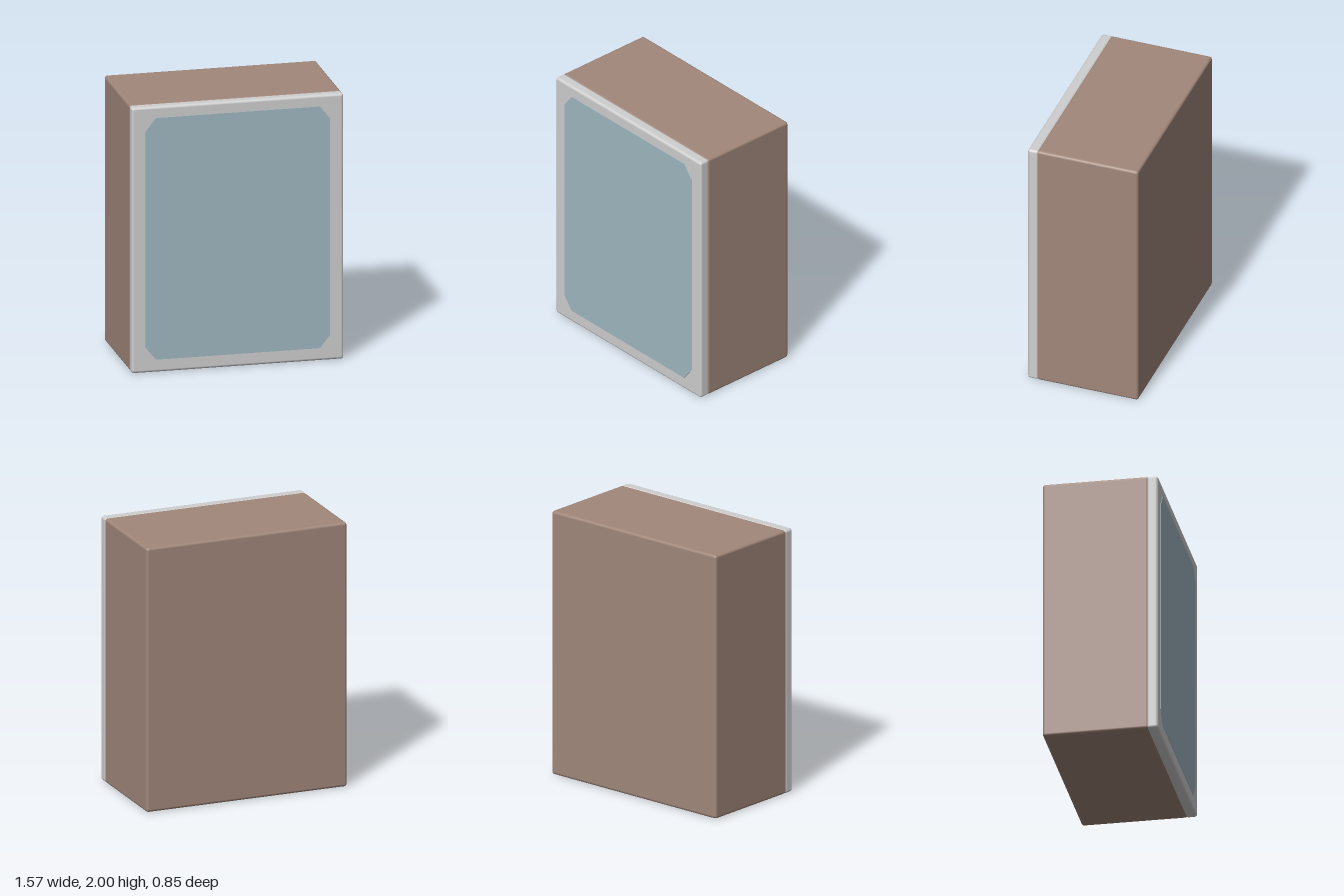
import * as THREE from 'three';
import { RoundedBoxGeometry } from 'three/addons/geometries/RoundedBoxGeometry.js';

const WIDTH = 1.57, HEIGHT = 2;

function material(name, color) {
  const m = new THREE.MeshStandardMaterial({ color });
  m.name = name;
  return m;
}

// Softly bevelled slab filling the full width and height between two depths
function slab(name, zBack, zFront, mat) {
  const geometry = new RoundedBoxGeometry(WIDTH, HEIGHT, zFront - zBack, 2, 0.02);
  const mesh = new THREE.Mesh(geometry, mat);
  mesh.name = name;
  mesh.position.set(0, HEIGHT / 2, (zBack + zFront) / 2);
  return mesh;
}

export function createModel() {
  const group = new THREE.Group();
  group.name = 'cabinet';
  const brown = material('brown casing', 0xa1877a);
  const grey = material('light grey frame', 0xcfcfcf);
  const blue = material('pale blue glass', 0x9fb7c1);

  // Casing and front frame overlap slightly, leaving a fine groove at the joint
  group.add(slab('casing', -0.425, 0.353, brown));
  group.add(slab('frontFrame', 0.338, 0.422, grey));

  // Glass panel with clipped corners
  const w = 0.683, h = 0.91, cx = 0.075, cy = 0.095;
  const outline = new THREE.Shape([
    [-w + cx, -h], [w - cx, -h], [w, -h + cy], [w, h - cy],
    [w - cx, h], [-w + cx, h], [-w, h - cy], [-w, -h + cy],
  ].map(([x, y]) => new THREE.Vector2(x, y)));
  const glass = new THREE.Mesh(
    new THREE.ExtrudeGeometry(outline, { depth: 0.005, bevelEnabled: false }), blue);
  glass.name = 'glassPanel';
  glass.position.set(0, 1.005, 0.42);
  group.add(glass);

  return group;
}
